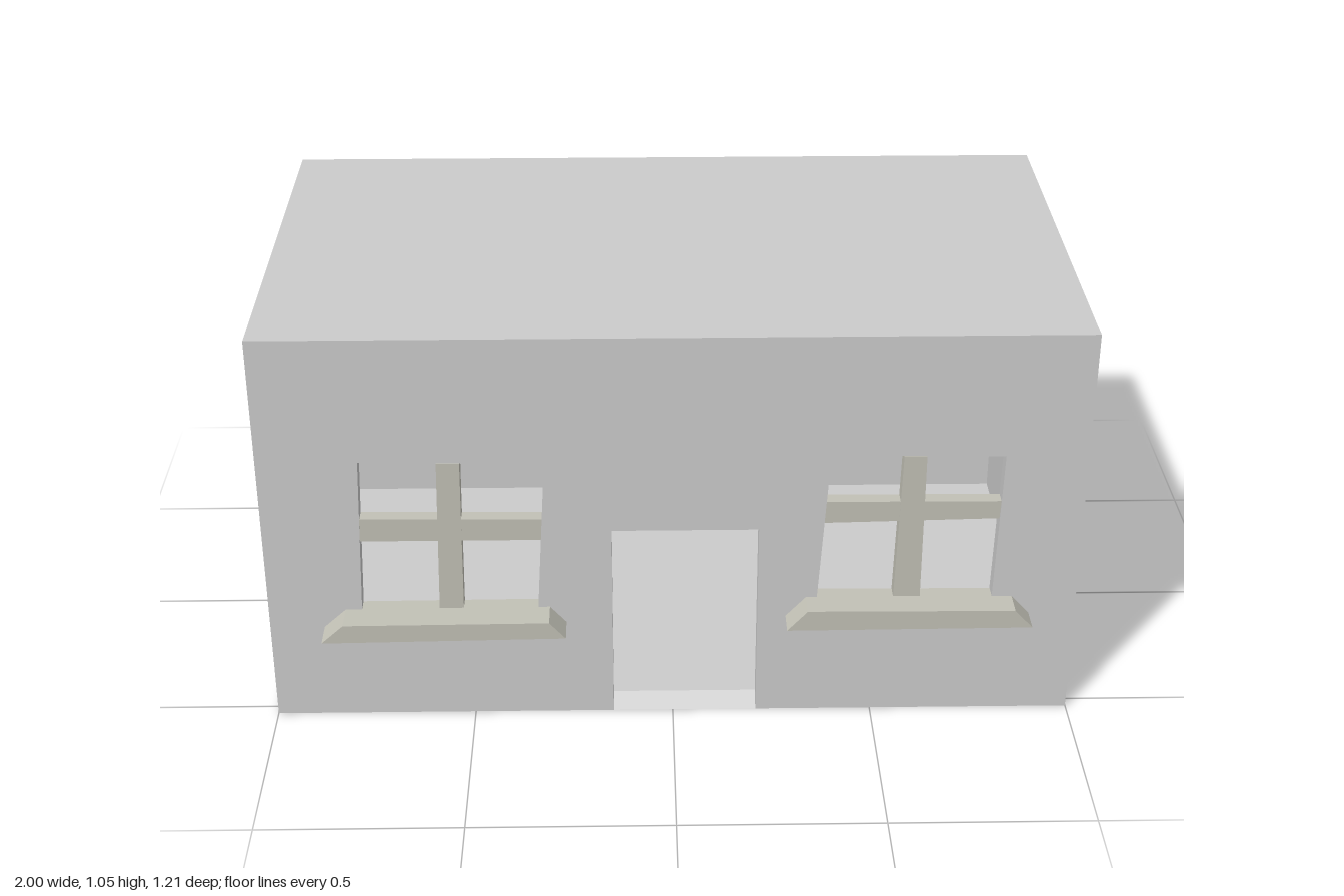
import * as THREE from 'three';

const W = 1, H = 1.05, ZF = 0.53, ZB = -0.605; // outer half width, height, front and back
const T = 0.05, TF = 0.04, FLOOR = 0.03, ROOF = 0.04;

const wallMat = new THREE.MeshStandardMaterial({ color: 0xcccccc, flatShading: true });
const trimMat = new THREE.MeshStandardMaterial({ color: 0xc2c1b6, flatShading: true });

const vecs = (pts) => pts.map(([x, y]) => new THREE.Vector2(x, y));

// Extrudes an outline, with optional holes, along +z from z
function slab(outline, holes, depth, z = 0) {
  const shape = new THREE.Shape(vecs(outline));
  shape.holes = holes.map((h) => new THREE.Path(vecs(h)));
  return new THREE.ExtrudeGeometry(shape, { depth, bevelEnabled: false }).translate(0, 0, z);
}

function boxBetween(x0, x1, y0, y1, z0, z1) {
  return new THREE.BoxGeometry(x1 - x0, y1 - y0, z1 - z0)
    .translate((x0 + x1) / 2, (y0 + y1) / 2, (z0 + z1) / 2);
}

// Hand-cut window openings with their crossbars and sills
const windows = [
  {
    name: 'rightWindow',
    hole: [[-0.77, 0.29], [-0.335, 0.29], [-0.31, 0.718], [-0.755, 0.725]],
    mullion: [[-0.578, 0.29], [-0.518, 0.29], [-0.512, 0.72], [-0.568, 0.72]],
    transom: [[-0.765, 0.505], [-0.322, 0.505], [-0.315, 0.563], [-0.76, 0.568]],
    sill: [[-0.865, 0.26], [-0.265, 0.268], [-0.305, 0.313], [-0.81, 0.31]],
    sillFront: 0.605,
  },
  {
    name: 'leftWindow',
    hole: [[0.355, 0.31], [0.79, 0.31], [0.8, 0.728], [0.38, 0.735]],
    mullion: [[0.545, 0.31], [0.612, 0.31], [0.61, 0.73], [0.555, 0.73]],
    transom: [[0.365, 0.546], [0.795, 0.555], [0.797, 0.603], [0.37, 0.605]],
    sill: [[0.28, 0.28], [0.885, 0.283], [0.84, 0.332], [0.33, 0.335]],
    sillFront: 0.598,
  },
];

// Side slits, drawn with the first coordinate running towards the back (-z)
const leftSlit = [[-0.43, 0.865], [0.525, 0.876], [0.525, 0.985], [0.18, 0.975], [-0.425, 1.0]];
const rightSlit = [[-0.4, 0.815], [0.52, 0.815], [0.495, 0.947], [-0.4, 0.95]];

export function createModel() {
  const model = new THREE.Group();
  model.name = 'house';
  const add = (name, geometry, material = wallMat, parent = model) => {
    const mesh = new THREE.Mesh(geometry, material);
    mesh.name = name;
    parent.add(mesh);
    return mesh;
  };
  const top = H - ROOF;

  // Shell
  add('floor', boxBetween(-W + T, W - T, 0, FLOOR, ZB + T, ZF - TF));
  add('roof', boxBetween(-W, W, top, H, ZB, ZF));
  add('backWall', boxBetween(-W, W, 0, top, ZB, ZB + T));

  // Front wall with an open doorway and two windows
  const frontOutline = [
    [-W, 0], [-0.15, 0], [-0.15, 0.53], [0.21, 0.53], [0.21, 0], [W, 0], [W, top], [-W, top],
  ];
  add('frontWall', slab(frontOutline, windows.map((w) => w.hole), TF, ZF - TF));

  // Side walls, each with a long high slit
  const sideOutline = [[-(ZF - TF), 0], [-(ZB + T), 0], [-(ZB + T), top], [-(ZF - TF), top]];
  for (const [name, slit, x] of [['leftWall', leftSlit, W - T], ['rightWall', rightSlit, -W]]) {
    add(name, slab(sideOutline, [slit], T).rotateY(Math.PI / 2).translate(x, 0, 0));
  }

  // Sloping threshold rising from the ground to the floor
  const ramp = slab([[-ZF, 0], [-(ZF - TF), 0], [-(ZF - TF), FLOOR]], [], 0.36);
  add('threshold', ramp.rotateY(Math.PI / 2).translate(-0.15, 0, 0));

  // Window crossbars and projecting sills
  for (const w of windows) {
    const group = new THREE.Group();
    group.name = w.name;
    add('mullion', slab(w.mullion, [], TF - 0.002, ZF - TF + 0.001), trimMat, group);
    add('transom', slab(w.transom, [], TF - 0.004, ZF - TF + 0.002), trimMat, group);
    const back = ZF - TF + 0.003;
    add('sill', slab(w.sill, [], w.sillFront - back, back), trimMat, group);
    model.add(group);
  }
  return model;
}
